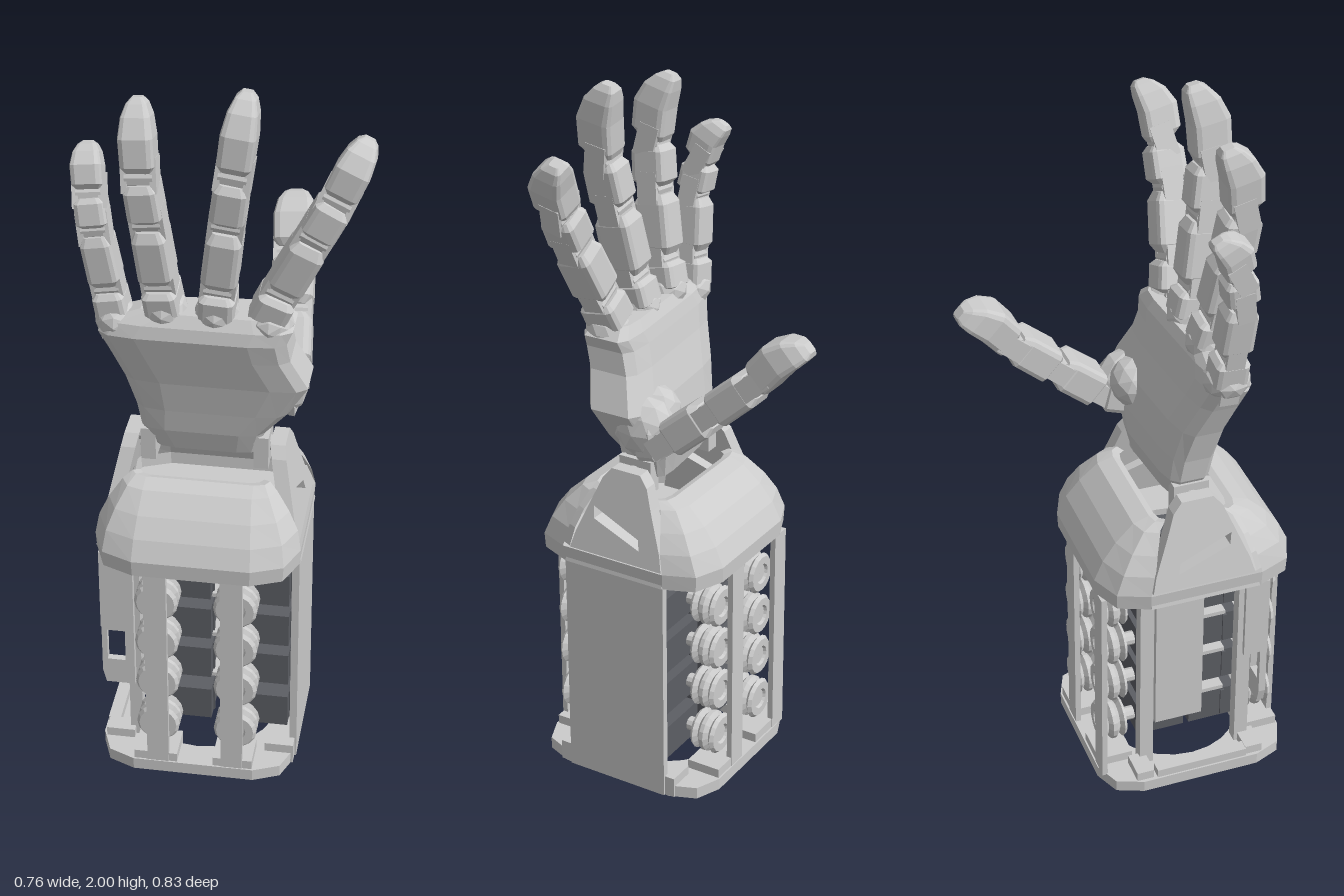
import * as THREE from 'three';

const grey = new THREE.MeshStandardMaterial({ color: 0xcccccc, flatShading: true, side: THREE.DoubleSide });
const dark = new THREE.MeshStandardMaterial({ color: 0x5c5e64, flatShading: true });
const V = (x, y, z) => new THREE.Vector3(x, y, z);

function add(parent, name, geo, mat = grey, pos = [0, 0, 0]) {
  const m = new THREE.Mesh(geo, mat);
  m.name = name;
  m.position.set(...pos);
  parent.add(m);
  return m;
}
const box = (parent, name, x0, x1, y0, y1, z0, z1) =>
  add(parent, name, new THREE.BoxGeometry(x1 - x0, y1 - y0, z1 - z0), grey,
    [(x0 + x1) / 2, (y0 + y1) / 2, (z0 + z1) / 2]);

// Rectangle with faceted corners: half width w, half depth d, k = straight share of each side
function ring(w, d, k, y, cx = 0, cz = 0) {
  const m = 1 - (1 - k) * 0.29;
  return [[1, -k], [1, k], [m, m], [k, 1], [-k, 1], [-m, m], [-1, k], [-1, -k], [-m, -m], [-k, -1], [k, -1], [m, -m]]
    .map(([a, b]) => [cx + a * w, y, cz + b * d]);
}

// Skin stacked rings; skip leaves out columns, capped closes both ends
function loft(rings, capped = true, skip = []) {
  const n = rings[0].length, pos = rings.flat(2), idx = [];
  for (let i = 0; i < rings.length - 1; i++)
    for (let j = 0; j < n; j++) {
      if (skip.includes(j)) continue;
      const a = i * n + j, d = i * n + (j + 1) % n;
      idx.push(a, a + n, d + n, a, d + n, d);
    }
  if (capped) {
    const last = (rings.length - 1) * n;
    for (let j = 1; j < n - 1; j++) idx.push(0, j, j + 1, last, last + j + 1, last + j);
  }
  const g = new THREE.BufferGeometry();
  g.setAttribute('position', new THREE.Float32BufferAttribute(pos, 3));
  g.setIndex(idx);
  g.computeVertexNormals();
  return g;
}

// Link profiles: distance along, thickness, outward bulge
const LINK = [[0.08, 0.7, 0], [0.2, 1, 0], [0.8, 0.98, 0], [0.93, 0.72, 0]];
const TIP = [[0.06, 0.75, 0], [0.15, 1, 0.008], [0.52, 1.02, 0.018], [0.78, 0.86, 0.01], [0.93, 0.6, 0], [1, 0.3, -0.004]];

// Chain of finger links with hinges between them
function finger(root, name, pts, w, d) {
  const f = new THREE.Group();
  f.name = name;
  root.add(f);
  for (let i = 0; i < pts.length - 1; i++) {
    const a = V(...pts[i]), dir = V(...pts[i + 1]).sub(a), len = dir.length();
    const y = dir.normalize(), x = V(1, 0, 0).addScaledVector(y, -y.x).normalize();
    const link = new THREE.Group();
    link.position.copy(a);
    link.quaternion.setFromRotationMatrix(new THREE.Matrix4().makeBasis(x, y, x.clone().cross(y)));
    f.add(link);
    const tip = i === pts.length - 2;
    const s = 1 - 0.03 * i;
    add(link, tip ? 'fingertip' : 'fingerLink',
      loft((tip ? TIP : LINK).map(([t, q, b]) => ring(w * s * q, d * s * q, 0.66, t * len, 0, b))));
    // hinge barrel and fork lugs
    add(link, 'hinge', new THREE.CylinderGeometry(d * 0.6, d * 0.6, w * 1.5, 10).rotateZ(Math.PI / 2));
    for (const e of [-1, 1])
      box(link, 'hingeLug', e * w * 0.78 - 0.008, e * w * 0.78 + 0.008, -0.04, 0.05, -d * 0.55, d * 0.55);
  }
}

export function createModel() {
  const root = new THREE.Group();
  const CX = -0.055, CZ = 0.13;

  // Base plate with a round opening
  const plate = (hw, hd, k, hole, depth) => {
    const s = new THREE.Shape(ring(hw, hd, k, 0, CX, -CZ).map(p => new THREE.Vector2(p[0], p[2])));
    s.holes.push(new THREE.Path().absarc(CX, -CZ, hole, 0, Math.PI * 2, true));
    return new THREE.ExtrudeGeometry(s, { depth, bevelEnabled: false, curveSegments: 12 }).rotateX(-Math.PI / 2);
  };
  add(root, 'basePlate', plate(0.27, 0.278, 0.62, 0.2, 0.035));
  add(root, 'topPlate', plate(0.255, 0.26, 0.56, 0.13, 0.02), grey, [0, 0.655, 0]);
  for (const e of [-1, 1]) {
    for (const [x0, x1] of [[-0.22, -0.1], [0, 0.11]])
      add(root, 'baseBlock', new THREE.BoxGeometry(x1 - x0, 0.06, 0.1), grey, [(x0 + x1) / 2, 0.032, CZ + e * 0.223]);
    for (const x of [-0.275, 0.175])
      add(root, 'baseCornerBlock', new THREE.BoxGeometry(0.08, 0.06, 0.05), grey, [x, 0.032, CZ + e * 0.165]);
  }
  box(root, 'baseRim', -0.32, -0.285, 0.01, 0.06, 0, 0.27);

  // Forearm walls and posts
  box(root, 'sideWall', 0.2, 0.22, 0, 0.67, -0.03, 0.285);
  box(root, 'innerPlate', -0.24, -0.22, 0.17, 0.67, 0.02, 0.16);
  for (const z of [0.28, -0.01])
    box(root, 'cornerPost', -0.25, -0.215, 0.03, 0.67, z - 0.02, z + 0.02);
  // Hanging panel with a square cut-out
  const panel = new THREE.Shape([[-0.32, 0.27], [-0.31, 0.23], [-0.23, 0.23], [-0.23, 0.67], [-0.32, 0.67]]
    .map(p => new THREE.Vector2(...p)));
  panel.holes.push(new THREE.Path(
    [[-0.305, 0.31], [-0.305, 0.41], [-0.255, 0.41], [-0.255, 0.31]].map(p => new THREE.Vector2(...p))));
  add(root, 'hangingPanel', new THREE.ExtrudeGeometry(panel, { depth: 0.02, bevelEnabled: false }), grey, [0, 0, 0.3]);
  box(root, 'panelFlange', -0.322, -0.31, 0.42, 0.67, 0.25, 0.32);

  // Servos, cable spools and bars on the front and back
  const spool = new THREE.LatheGeometry([[0.001, 0], [0.055, 0], [0.06, 0.008], [0.045, 0.018], [0.06, 0.03],
    [0.06, 0.042], [0.045, 0.052], [0.06, 0.064], [0.052, 0.074], [0.03, 0.074], [0.026, 0.066], [0.001, 0.066]]
    .map(p => new THREE.Vector2(...p)), 16).rotateX(Math.PI / 2);
  const sides = [
    { e: 1, spools: [-0.155, 0.06], bars: [-0.153, 0.053] },
    { e: -1, spools: [0.06, -0.155], bars: [0.01, -0.225] },
  ];
  for (const { e, spools, bars } of sides) {
    for (const x of spools)
      for (const y of [0.15, 0.295, 0.43, 0.565]) {
        const bx = x + 0.045;
        add(root, 'servo', new THREE.BoxGeometry(0.175, 0.1, 0.14), dark, [bx, y, CZ + e * 0.078]);
        add(root, 'servoFlange', new THREE.BoxGeometry(0.185, 0.09, 0.012), dark, [bx, y, CZ + e * 0.11]);
        add(root, 'servoShaft', new THREE.CylinderGeometry(0.02, 0.02, 0.04, 10).rotateX(Math.PI / 2), grey, [x, y, CZ + e * 0.165]);
        add(root, 'cableSpool', spool, grey, [x, y, CZ + e * 0.183]).rotation.y = e > 0 ? 0 : Math.PI;
      }
    for (const x of bars)
      add(root, 'bar', new THREE.BoxGeometry(0.06, 0.64, 0.016), grey, [x, 0.35, CZ + e * 0.267]);
    for (const y of [0.222, 0.363, 0.498])
      add(root, 'shelf', new THREE.BoxGeometry(0.4, 0.012, 0.09), grey, [-0.015, y, CZ + e * 0.06]);
  }

  // Domed cuff: a closed band below, two half shells above
  const cuff = [[0.278, 0.281, 0.57, 0.715], [0.268, 0.255, 0.58, 0.77], [0.243, 0.217, 0.62, 0.82],
    [0.208, 0.165, 0.7, 0.868], [0.185, 0.12, 0.78, 0.882]];
  const skin = (rows, t) => rows.map(([w, d, k, y]) => ring(w - t, d - t, k, y - t * 0.3, CX, CZ));
  const band = [[0.275, 0.279, 0.57, 0.67], cuff[0]];
  add(root, 'cuffBand', loft([...skin(band, 0), ...skin(band, 0.018).reverse()], false));
  add(root, 'cuffShells', loft([...skin(cuff, 0), ...skin(cuff, 0.018).reverse()], false, [0, 6]));

  // Slotted wrist brackets leaning inwards
  for (const e of [-1, 1]) {
    const s = new THREE.Shape([[0.285, 0.67], [0.26, 0.76], [0.215, 0.87], [0.19, 0.93], [0.165, 0.96], [0.075, 0.96],
      [0.05, 0.93], [0.03, 0.87], [-0.01, 0.76], [-0.03, 0.67]].map(p => new THREE.Vector2(...p)));
    s.holes.push(new THREE.Path([[0.205, 0.81], [0.21, 0.845], [0.06, 0.785], [0.055, 0.755]].map(p => new THREE.Vector2(...p))));
    const g = new THREE.ExtrudeGeometry(s, { depth: 0.04, bevelEnabled: false }).translate(0, 0, -0.02).rotateY(-Math.PI / 2);
    const p = g.attributes.position;
    for (let i = 0; i < p.count; i++)
      p.setX(i, p.getX(i) + CX + e * (0.258 - (p.getY(i) - 0.67) * 0.21));
    g.computeVertexNormals();
    add(root, 'wristBracket', g);
    box(root, 'wristLug', CX + e * 0.152 - 0.02, CX + e * 0.152 + 0.02, 0.885, 0.98, 0.07, 0.17);
  }
  add(root, 'wristPin', new THREE.CylinderGeometry(0.022, 0.022, 0.38, 10).rotateZ(Math.PI / 2), grey, [CX, 0.938, 0.12]);

  // Palm from stacked sections (y, x range, z range), thicker towards the thumb
  const palm = [
    [0.925, -0.19, 0.085, 0.06, 0.165], [0.99, -0.225, 0.105, 0.045, 0.185], [1.06, -0.235, 0.165, 0.05, 0.198],
    [1.155, -0.26, 0.222, 0.065, 0.218], [1.25, -0.295, 0.178, 0.095, 0.245], [1.31, -0.32, 0.17, 0.11, 0.262],
    [1.345, -0.3, 0.185, 0.12, 0.255], [1.375, -0.21, 0.15, 0.135, 0.235],
  ].map(([y, x0, x1, z0, z1]) => ring((x1 - x0) / 2, (z1 - z0) / 2, 0.6, y, (x0 + x1) / 2, (z0 + z1) / 2)
    .map(([x, py, z]) => [x, py, z < (z0 + z1) / 2 ? z - 0.09 * (x - CX) : z]));
  add(root, 'palm', loft(palm));
  // Knuckles
  for (const [x, y] of [[-0.275, 1.33], [-0.15, 1.37], [-0.015, 1.37], [0.125, 1.35]])
    add(root, 'knuckle', new THREE.IcosahedronGeometry(0.06, 1), grey, [x, y, 0.19]).scale.set(1, 0.85, 1.1);
  // Thumb mount: main joint housing and the pad beside it
  add(root, 'thumbMount', new THREE.IcosahedronGeometry(0.09, 1), grey, [0.14, 1.1, 0.07]).scale.set(0.8, 1, 1);
  add(root, 'thumbPad', new THREE.IcosahedronGeometry(0.08, 1), grey, [0.085, 1.125, 0.065]).scale.set(0.85, 0.9, 0.8);

  // Fingers and thumb, from knuckle to tip
  finger(root, 'littleFinger', [[-0.28, 1.32, 0.185], [-0.297, 1.42, 0.19], [-0.325, 1.59, 0.2], [-0.338, 1.68, 0.185], [-0.351, 1.795, 0.125]], 0.043, 0.047);
  finger(root, 'ringFinger', [[-0.15, 1.36, 0.185], [-0.16, 1.45, 0.205], [-0.18, 1.64, 0.235], [-0.195, 1.77, 0.25], [-0.207, 1.96, 0.205]], 0.047, 0.055);
  finger(root, 'middleFinger', [[-0.015, 1.36, 0.185], [-0.008, 1.45, 0.205], [0.018, 1.65, 0.235], [0.038, 1.79, 0.255], [0.066, 2.0, 0.22]], 0.048, 0.056);
  finger(root, 'indexFinger', [[0.11, 1.36, 0.185], [0.15, 1.45, 0.2], [0.235, 1.62, 0.22], [0.29, 1.725, 0.22], [0.36, 1.88, 0.185]], 0.05, 0.053);
  finger(root, 'thumb', [[0.13, 1.065, 0.08], [0.145, 1.085, -0.01], [0.135, 1.195, -0.14], [0.125, 1.305, -0.265], [0.112, 1.43, -0.402]], 0.062, 0.052);
  return root;
}
